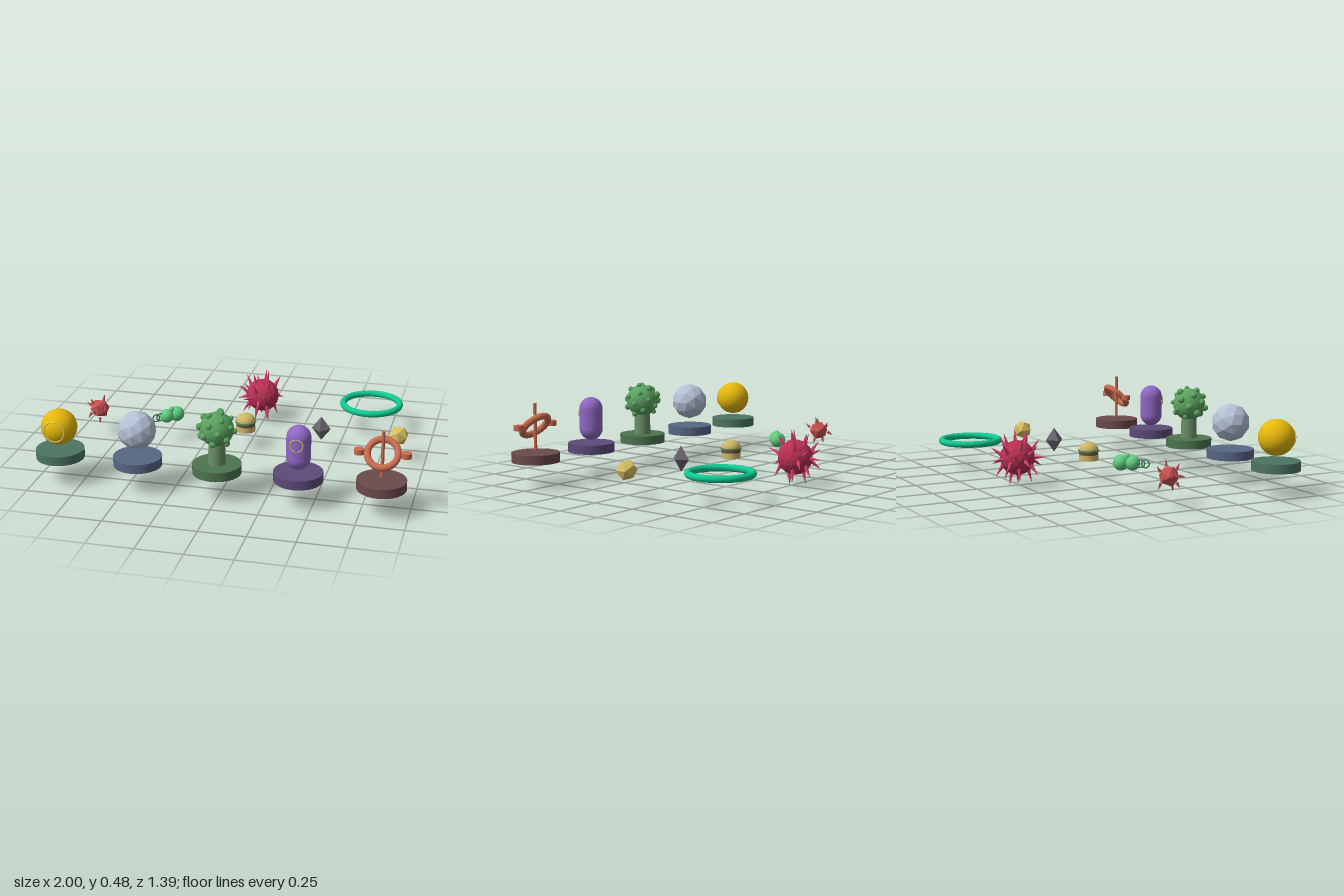
import * as THREE from 'three';

const mat = (color, flat = false) => new THREE.MeshStandardMaterial({ color, flatShading: flat });

function add(parent, name, geometry, material, x = 0, y = 0, z = 0) {
  const mesh = new THREE.Mesh(geometry, material);
  mesh.name = name;
  mesh.position.set(x, y, z);
  parent.add(mesh);
  return mesh;
}

function group(parent, name, x, y, z) {
  const g = new THREE.Group();
  g.name = name;
  g.position.set(x, y, z);
  parent.add(g);
  return g;
}

// Evenly spread direction number i of n over a sphere
function spread(i, n) {
  const y = 1 - (2 * (i + 0.5)) / n, r = Math.sqrt(1 - y * y), a = i * 2.39996;
  return new THREE.Vector3(Math.cos(a) * r, y, Math.sin(a) * r);
}

// Faceted core with loose cone spikes hovering around it
function spikyBall(parent, name, x, y, z, o) {
  const g = group(parent, name, x, y, z);
  add(g, 'core', new THREE.IcosahedronGeometry(o.radius, o.detail), mat(o.color, true));
  const cone = new THREE.ConeGeometry(o.width, o.length, 5), m = mat(o.spikeColor, true);
  const up = new THREE.Vector3(0, 1, 0);
  for (let i = 0; i < o.count; i++) {
    const d = spread(i, o.count);
    if (d.x > 0.72) continue;
    const spike = add(g, 'spike', cone, m);
    spike.position.copy(d).multiplyScalar(o.distance);
    const aim = d.clone();
    aim.y *= 2.2;
    spike.quaternion.setFromUnitVectors(up, aim.normalize());
  }
}

export function createModel() {
  const model = new THREE.Group();
  model.name = 'collection';
  const xs = [-0.872, -0.441, -0.01, 0.421, 0.852];
  const frontZ = 0.565, midZ = -0.083, backZ = -0.515, floatY = 0.165;

  // Pedestals
  const disc = new THREE.CylinderGeometry(0.129, 0.129, 0.05, 32);
  const discColors = [0x4c7563, 0x566684, 0x4d7550, 0x5c4a7a, 0x6b4a4a];
  const stands = xs.map((x, i) => {
    const g = group(model, 'stand', x, 0, frontZ);
    add(g, 'pedestal', disc, mat(discColors[i]), 0, floatY, 0);
    return g;
  });

  // Golden ball with a thin ring on its face
  add(stands[0], 'goldBall', new THREE.SphereGeometry(0.096, 32, 24), mat(0xe5b80b), 0, 0.312, 0);
  add(stands[0], 'faceRing', new THREE.TorusGeometry(0.056, 0.004, 8, 32), mat(0xe8cf60), 0, 0.312, 0.08);

  // Faceted stone
  add(stands[1], 'stone', new THREE.IcosahedronGeometry(0.104, 1), mat(0xb4c0d6, true), 0, 0.334, 0);

  // Bumpy round bush on a trunk
  const green = mat(0x5ba35f);
  add(stands[2], 'trunk', new THREE.CylinderGeometry(0.043, 0.047, 0.14, 16), mat(0x6b9068), 0, 0.25, 0);
  add(stands[2], 'crown', new THREE.SphereGeometry(0.09, 24, 18), green, 0, 0.382, 0);
  for (let i = 0; i < 22; i++) {
    const d = spread(i, 24).multiplyScalar(0.092);
    const r = 0.014 + 0.006 * ((i * 7) % 5) / 4;
    add(stands[2], 'bump', new THREE.SphereGeometry(r, 12, 8), green, d.x, 0.382 + d.y, d.z);
  }

  // Capsule with a small ring badge
  add(stands[3], 'capsule', new THREE.CapsuleGeometry(0.064, 0.11, 10, 24), mat(0x9068c4), 0, 0.324, 0);
  add(stands[3], 'badgeRing', new THREE.TorusGeometry(0.033, 0.004, 8, 24), mat(0xd0b870), 0, 0.354, 0.06);

  // Tilted hoop with a vertical pin and side knobs
  const copper = mat(0xc96a50);
  const hoop = add(stands[4], 'hoop', new THREE.TorusGeometry(0.078, 0.018, 12, 36), copper, 0, 0.333, 0);
  hoop.rotation.x = -Math.PI / 4;
  add(stands[4], 'pin', new THREE.CylinderGeometry(0.009, 0.009, 0.25, 10), copper, 0, 0.328, 0);
  for (const s of [-1, 1])
    add(stands[4], 'knob', new THREE.CylinderGeometry(0.027, 0.027, 0.028, 16), copper, s * 0.12, 0.334, 0);

  // Small and large spiky balls
  spikyBall(model, 'smallSpikyBall', xs[0], floatY, midZ, {
    radius: 0.056, detail: 0, color: 0xc85050, spikeColor: 0xb84a50,
    count: 12, distance: 0.072, width: 0.009, length: 0.036,
  });
  spikyBall(model, 'largeSpikyBall', xs[2], 0.162, backZ, {
    radius: 0.095, detail: 2, color: 0xb83050, spikeColor: 0xd84070,
    count: 30, distance: 0.12, width: 0.013, length: 0.075,
  });

  // Plump creature with a ringed tail, lying on a diagonal
  const mint = mat(0x60cc80);
  const creature = group(model, 'creature', -0.443, floatY, midZ);
  creature.rotation.y = Math.PI / 4;
  add(creature, 'body', new THREE.SphereGeometry(0.043, 20, 14), mint, 0.033, 0, 0);
  add(creature, 'head', new THREE.SphereGeometry(0.039, 20, 14), mint, -0.032, 0, 0);
  add(creature, 'backBump', new THREE.SphereGeometry(0.016, 12, 8), mint, 0, 0.033, 0);
  const ringGeo = new THREE.TorusGeometry(0.021, 0.004, 8, 20), dark = mat(0x4c8a60);
  for (const x of [-0.075, -0.1]) add(creature, 'tailRing', ringGeo, dark, x, 0, 0);

  // Layered bun
  const bun = group(model, 'bun', xs[2], 0, midZ);
  const crust = mat(0xd0b868);
  add(bun, 'bunBase', new THREE.CylinderGeometry(0.054, 0.054, 0.032, 24), crust, 0, 0.128, 0);
  add(bun, 'filling', new THREE.CylinderGeometry(0.053, 0.053, 0.018, 24), mat(0x6b5040), 0, 0.153, 0);
  add(bun, 'leaf', new THREE.CylinderGeometry(0.059, 0.059, 0.008, 24), mat(0x5a8a50), 0, 0.166, 0);
  const top = add(bun, 'bunTop',
    new THREE.SphereGeometry(0.054, 24, 10, 0, Math.PI * 2, 0, Math.PI / 2), crust, 0, 0.17, 0);
  top.scale.y = 0.8;

  // Tall eight-sided crystal
  const crystal = add(model, 'crystal', new THREE.OctahedronGeometry(0.053), mat(0x6a6670, true), xs[3], floatY, midZ);
  crystal.scale.y = 1.32;

  // Faceted nugget
  add(model, 'nugget', new THREE.IcosahedronGeometry(0.057), mat(0xd8c060, true), xs[4], floatY, midZ);

  // Large floating ring
  const ring = add(model, 'floatingRing', new THREE.TorusGeometry(0.163, 0.0185, 14, 56), mat(0x10c890), 0.636, floatY, backZ);
  ring.rotation.x = Math.PI / 2;

  return model;
}
